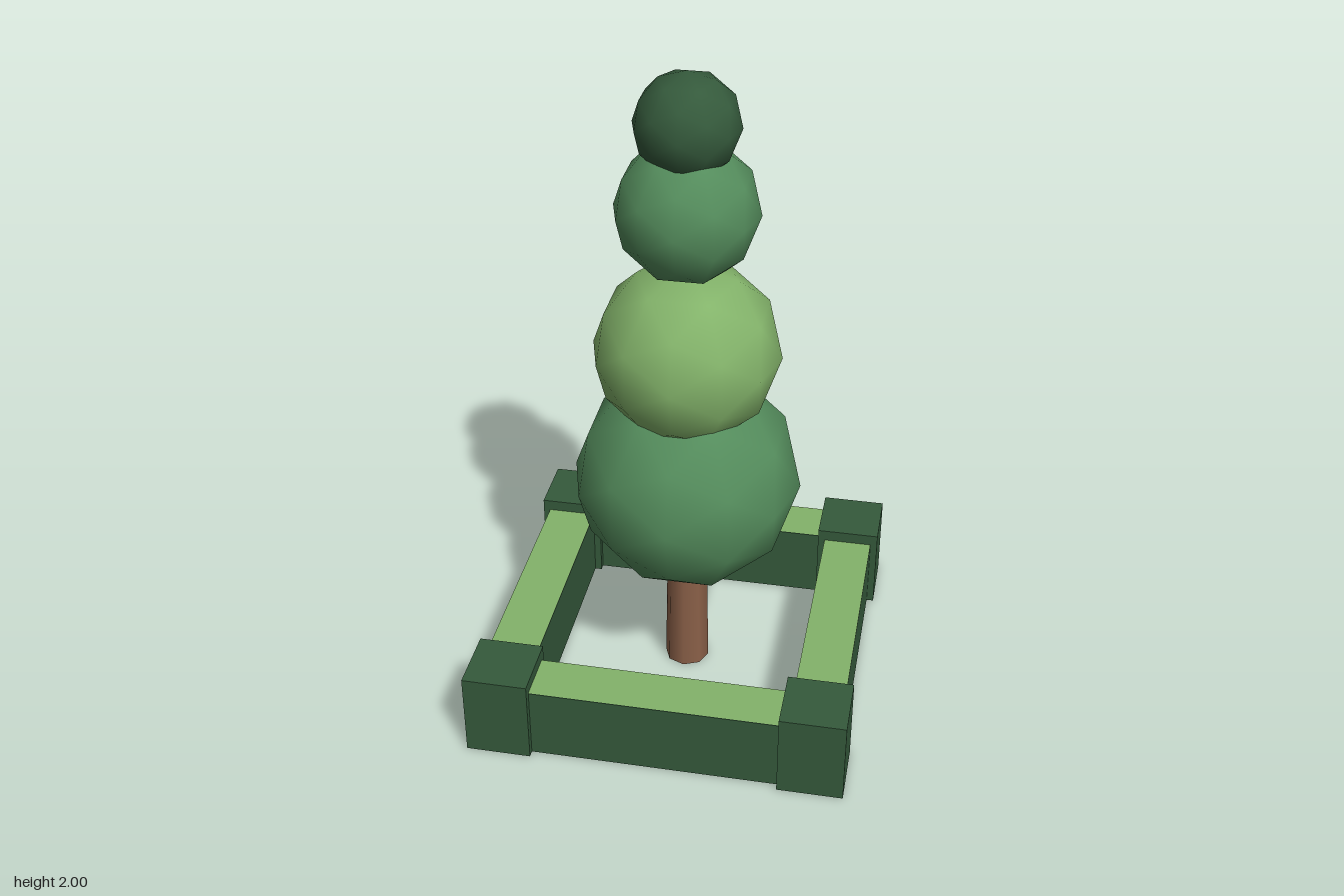
import * as THREE from 'three';

const paint = (color) => new THREE.MeshStandardMaterial({ color });

export function createModel() {
  const model = new THREE.Group();
  const dark = paint(0x355a3c), mid = paint(0x548c5c), light = paint(0x83b36a), bark = paint(0x8a6048);

  const add = (parent, name, geometry, material, x, y, z) => {
    const mesh = new THREE.Mesh(geometry, material);
    mesh.name = name;
    mesh.position.set(x, y, z);
    parent.add(mesh);
    return mesh;
  };

  // Tapered trunk running up through the foliage
  add(model, 'trunk', new THREE.CylinderGeometry(0.045, 0.07, 1.45, 8), bark, 0, 0.725, 0);

  // Clipped foliage balls: radius, centre height, material
  const foliage = new THREE.Group();
  foliage.name = 'foliage';
  model.add(foliage);
  [[0.35, 0.70, mid], [0.283, 1.14, light], [0.213, 1.59, mid], [0.155, 1.845, dark]].forEach(([r, y, material], i) => {
    add(foliage, `foliageBall${i + 1}`, new THREE.IcosahedronGeometry(r, 1), material, 0, y, 0);
  });

  // Square planter frame: four rails with light tops, four corner posts
  const frame = new THREE.Group();
  frame.name = 'planterFrame';
  model.add(frame);
  for (let i = 0; i < 4; i++) {
    const side = new THREE.Group();
    side.name = `frameSide${i + 1}`;
    side.rotation.y = i * Math.PI / 2;
    frame.add(side);
    add(side, 'rail', new THREE.BoxGeometry(0.78, 0.23, 0.154), dark, 0, 0.115, 0.476);
    add(side, 'railTop', new THREE.PlaneGeometry(0.78, 0.154).rotateX(-Math.PI / 2), light, 0, 0.232, 0.476);
    add(side, 'cornerPost', new THREE.BoxGeometry(0.198, 0.268, 0.198), dark, 0.476, 0.134, 0.476);
  }
  return model;
}
